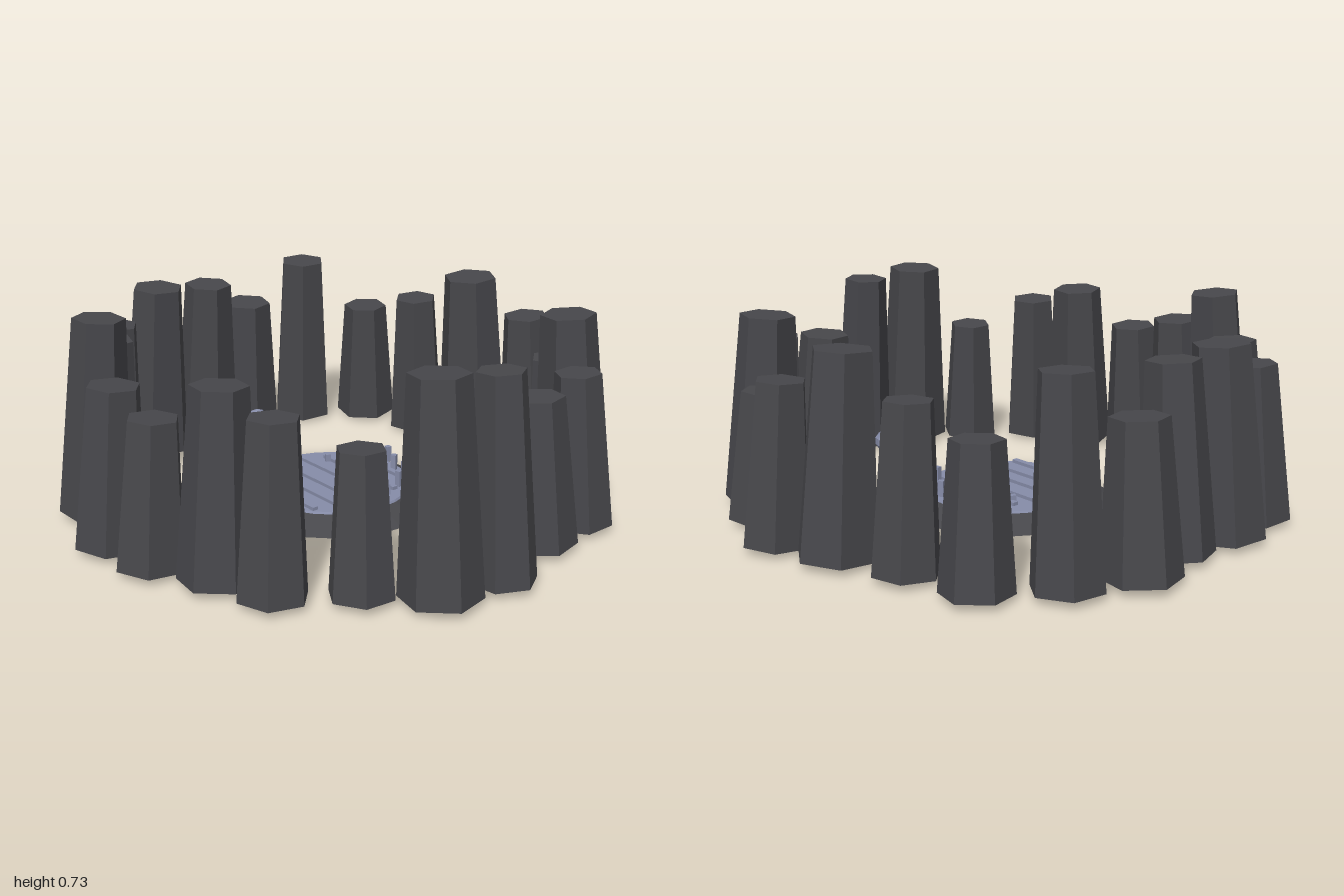
import * as THREE from 'three';

export function createModel() {
  const root = new THREE.Group();
  const basalt = new THREE.MeshStandardMaterial({ color: 0x47474b, flatShading: true });
  basalt.name = 'basalt grey';
  const slate = new THREE.MeshStandardMaterial({ color: 0x868ca8, flatShading: true });
  slate.name = 'slate blue';

  const add = (name, geometry, material, x, y, z, parent = root) => {
    const mesh = new THREE.Mesh(geometry, material);
    mesh.name = name;
    mesh.position.set(x, y, z);
    parent.add(mesh);
    return mesh;
  };

  // Ring of tapered six-sided columns leaning inward: x, z, radius, height, turn in degrees
  const columns = [
    [0.13, -0.88, 0.119, 0.565, 24], [-0.1, -0.8, 0.142, 0.69, 28],
    [-0.36, -0.73, 0.115, 0.565, 13], [-0.62, -0.67, 0.119, 0.49, -15],
    [-0.78, -0.45, 0.123, 0.685, 24], [-0.87, -0.22, 0.132, 0.525, -14],
    [-0.81, 0.02, 0.125, 0.65, -11], [-0.82, 0.255, 0.135, 0.67, 22],
    [-0.78, 0.47, 0.119, 0.565, 25], [-0.56, 0.63, 0.13, 0.585, -17],
    [-0.385, 0.765, 0.126, 0.72, 4], [-0.11, 0.86, 0.126, 0.57, 22],
    [0.11, 0.84, 0.121, 0.515, 25], [0.325, 0.73, 0.13, 0.65, -8],
    [0.53, 0.665, 0.119, 0.59, 17], [0.69, 0.445, 0.111, 0.49, 28],
    [0.85, 0.265, 0.136, 0.725, -16], [0.89, 0.035, 0.112, 0.7, 2],
    [0.775, -0.255, 0.127, 0.53, -17], [0.75, -0.485, 0.112, 0.56, 28],
    [0.545, -0.67, 0.135, 0.69, -13], [0.365, -0.785, 0.117, 0.47, 10],
  ];
  const ring = new THREE.Group();
  ring.name = 'columnRing';
  root.add(ring);
  for (const [x, z, r, h, turn] of columns) {
    const g = new THREE.CylinderGeometry(r * 0.72, r, h - 0.02, 6);
    g.rotateY(THREE.MathUtils.degToRad(30 + turn));
    g.translate(0, (h - 0.02) / 2, 0);
    const column = add('column', g, basalt, x, 0.018, z, ring);
    const axis = new THREE.Vector3(-z, 0, x).normalize();
    column.quaternion.setFromAxisAngle(axis, 0.07);
  }

  // Small stones at the feet of the columns
  const stones = [
    [0.1, -0.74], [-0.09, -0.67], [0.45, -0.56], [0.645, -0.215], [0.735, 0.03], [0.705, 0.215],
    [0.27, 0.605], [-0.09, 0.725], [-0.665, 0.39], [-0.685, 0.015], [-0.74, -0.185],
  ];
  stones.forEach(([x, z], i) => {
    const stone = add('stone', new THREE.SphereGeometry(0.043, 7, 5), slate, x, 0.045, z);
    stone.rotation.y = i;
  });

  // Round platform with a sloped rim and an inlaid floor
  const platform = new THREE.Group();
  platform.name = 'platform';
  platform.position.x = -0.015;
  root.add(platform);
  add('platformBase', new THREE.CylinderGeometry(0.29, 0.386, 0.045, 28), basalt, 0, 0.0225, 0, platform);
  add('platformFloor', new THREE.CylinderGeometry(0.285, 0.29, 0.008, 28), slate, 0, 0.048, 0, platform);

  // Raised slats across the floor: x centre, z, length
  const slats = [
    [0.02, -0.22, 0.28], [0.01, -0.125, 0.4], [-0.001, -0.045, 0.46],
    [-0.001, 0.045, 0.46], [0, 0.125, 0.41], [0, 0.21, 0.35],
  ];
  for (const [x, z, length] of slats) {
    add('slat', new THREE.BoxGeometry(length, 0.014, 0.022), slate, x, 0.057, z, platform);
  }

  // Short posts along the back of the floor: x, z, height
  const posts = [
    [-0.15, -0.25, 0.04], [-0.08, -0.26, 0.05], [-0.02, -0.29, 0.06], [0.06, -0.25, 0.06],
    [0.12, -0.25, 0.05], [0.18, -0.26, 0.06], [-0.16, -0.11, 0.03], [0.19, -0.16, 0.06],
    [0.22, -0.08, 0.04], [0.05, -0.19, 0.05], [-0.06, -0.2, 0.04], [-0.14, -0.19, 0.03],
  ];
  posts.forEach(([x, z, h], i) => {
    const post = add('post', new THREE.BoxGeometry(0.02, h, 0.02), slate, x, 0.05 + h / 2, z, platform);
    post.rotation.y = i * 0.7;
  });

  // Spoked wheel lying on a short axle
  const wheel = new THREE.Group();
  wheel.name = 'wheel';
  wheel.position.set(0.115, 0.08, -0.1);
  platform.add(wheel);
  add('wheelRim', new THREE.TorusGeometry(0.042, 0.007, 5, 14).rotateX(Math.PI / 2), slate, 0, 0, 0, wheel);
  add('wheelAxle', new THREE.CylinderGeometry(0.01, 0.01, 0.04, 6), slate, 0, -0.012, 0, wheel);
  for (let i = 0; i < 3; i++) {
    const spoke = add('spoke', new THREE.BoxGeometry(0.08, 0.007, 0.007), slate, 0, 0, 0, wheel);
    spoke.rotation.y = (i * Math.PI) / 3;
  }
  return root;
}
